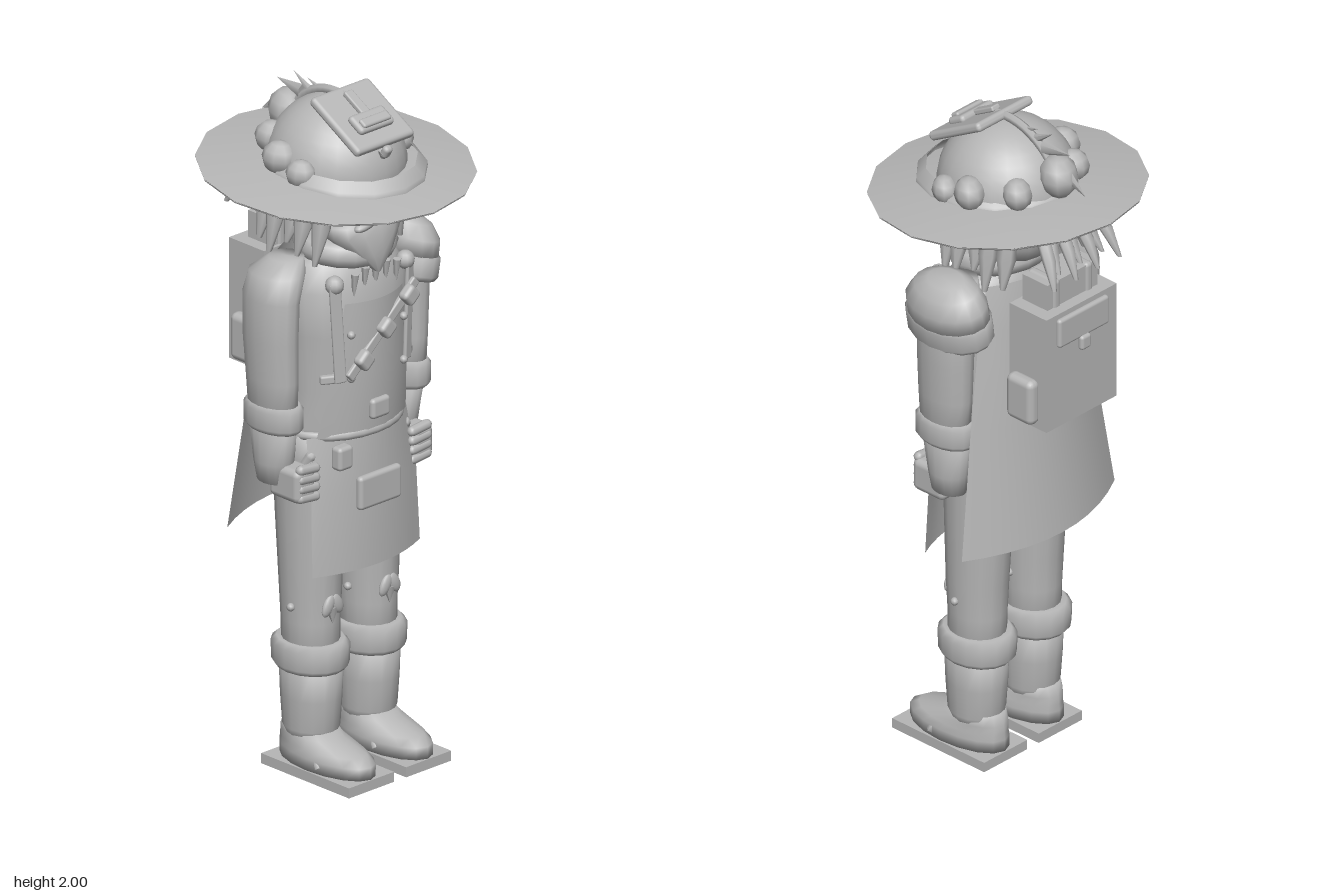
import * as THREE from 'three';
import { RoundedBoxGeometry } from 'three/addons/geometries/RoundedBoxGeometry.js';

const grey = new THREE.MeshStandardMaterial({ color: 0xb6b6b6, side: THREE.DoubleSide });
grey.name = 'stone grey';

function add(parent, name, geo, pos = [0, 0, 0], rot = [0, 0, 0], scale = [1, 1, 1]) {
  const m = new THREE.Mesh(geo, grey);
  m.name = name;
  m.position.set(...pos);
  m.rotation.set(...rot);
  m.scale.set(...scale);
  parent.add(m);
  return m;
}
const rbox = (w, h, d, r = 0.012) => new RoundedBoxGeometry(w, h, d, 2, Math.min(r, w / 2.1, h / 2.1, d / 2.1));
const box = (w, h, d) => new THREE.BoxGeometry(w, h, d);
const ball = (r, w = 12, h = 8) => new THREE.SphereGeometry(r, w, h);

// Closed skin over elliptical rings [y, centreX, centreZ, radiusX, radiusZ], lowest first
function loft(rings, n = 16) {
  const pos = [], idx = [], last = rings.length - 1;
  for (const [y, cx, cz, rx, rz] of rings) for (let k = 0; k < n; k++) {
    const a = (k / n) * Math.PI * 2;
    pos.push(cx + Math.sin(a) * rx, y, cz + Math.cos(a) * rz);
  }
  for (const r of [rings[0], rings[last]]) pos.push(r[1], r[0], r[2]);
  const low = rings.length * n;
  for (let k = 0; k < n; k++) {
    const j = (k + 1) % n;
    for (let i = 0; i < last; i++) {
      const a = i * n + k, b = i * n + j;
      idx.push(a, b, b + n, a, b + n, a + n);
    }
    idx.push(low, j, k, low + 1, last * n + k, last * n + j);
  }
  const g = new THREE.BufferGeometry();
  g.setAttribute('position', new THREE.Float32BufferAttribute(pos, 3));
  g.setIndex(idx);
  g.computeVertexNormals();
  return g;
}

// Thin curved cloth: rows [y, halfWidth, middleZ, edgeZ]
function cloth(rows, n = 10) {
  const g = new THREE.PlaneGeometry(1, 1, n, rows.length - 1), p = g.attributes.position;
  rows.forEach(([y, w, zm, ze], i) => {
    for (let k = 0; k <= n; k++) {
      const u = (k / n) * 2 - 1;
      p.setXYZ(i * (n + 1) + k, u * w, y, zm + (ze - zm) * u * u);
    }
  });
  g.computeVertexNormals();
  return g;
}

function leg(parent, s) {
  const g = new THREE.Group();
  g.name = s > 0 ? 'leftLeg' : 'rightLeg';
  parent.add(g);
  const x = s * 0.109;
  add(g, 'trouser', loft([[0.3, x, 0.015, 0.078, 0.085], [0.45, x, 0.012, 0.078, 0.088],
    [0.55, x, 0.012, 0.083, 0.093], [0.75, x, 0.008, 0.088, 0.103], [0.95, x, 0.005, 0.09, 0.115], [1.02, x, 0.005, 0.088, 0.11]]));
  add(g, 'bootShaft', loft([[0.1, x, 0.015, 0.066, 0.07], [0.13, x, 0.015, 0.076, 0.085],
    [0.22, x, 0.015, 0.08, 0.093], [0.33, x, 0.015, 0.084, 0.097]]));
  add(g, 'bootCuff', loft([[0.305, x, 0.012, 0.09, 0.104], [0.32, x, 0.012, 0.1, 0.117],
    [0.375, x, 0.012, 0.102, 0.119], [0.39, x, 0.012, 0.088, 0.102]]));
  add(g, 'shoe', loft([[0.03, x, 0.08, 0.082, 0.172], [0.065, x, 0.08, 0.083, 0.172], [0.085, x, 0.065, 0.076, 0.155],
    [0.11, x, 0.02, 0.07, 0.108], [0.14, x, 0.0, 0.064, 0.075]]));
  add(g, 'sole', box(0.172, 0.03, 0.35), [x, 0.015, 0.08]);
  add(g, 'toeStrap', new THREE.TorusGeometry(0.07, 0.012, 6, 14, Math.PI), [x, 0.045, 0.12], [-0.5, 0, 0], [1.05, 0.7, 1]);
  // Heart shaped knee patch from two lobes and a point
  for (const d of [-1, 1]) add(g, 'kneePatch', ball(0.026), [x + d * 0.016, 0.508, 0.1], [0, 0, d * 0.5], [0.75, 1.3, 0.4]);
  add(g, 'kneePoint', new THREE.ConeGeometry(0.026, 0.05, 8), [x, 0.475, 0.1], [Math.PI, 0, 0], [1, 1, 0.35]);
  for (const d of [-1, 1]) add(g, 'kneeStud', ball(0.012, 8, 6), [x + d * 0.083, 0.5, 0.02]);
}

function arm(parent, s) {
  const g = new THREE.Group();
  g.name = s > 0 ? 'leftArm' : 'rightArm';
  parent.add(g);
  add(g, 'sleeve', loft([[1.08, s * 0.245, 0.005, 0.053, 0.082], [1.2, s * 0.247, 0.003, 0.055, 0.09],
    [1.32, s * 0.25, 0, 0.06, 0.094], [1.44, s * 0.248, 0, 0.062, 0.097], [1.51, s * 0.225, 0, 0.07, 0.088], [1.545, s * 0.19, 0, 0.05, 0.05]]));
  add(g, 'cuff', loft([[1.05, s * 0.243, 0.005, 0.055, 0.088], [1.065, s * 0.243, 0.005, 0.066, 0.1],
    [1.115, s * 0.243, 0.005, 0.066, 0.1], [1.13, s * 0.243, 0.005, 0.055, 0.088]]));
  add(g, 'glove', loft([[0.89, s * 0.235, 0, 0.042, 0.055], [0.95, s * 0.237, 0, 0.052, 0.062], [1.06, s * 0.242, 0.002, 0.052, 0.082]]));
  add(g, 'palm', rbox(0.075, 0.1, 0.12, 0.02), [s * 0.225, 0.9, 0.06]);
  for (let i = 0; i < 4; i++)
    add(g, 'finger', new THREE.CapsuleGeometry(0.015, 0.055, 3, 8), [s * 0.213, 0.862 + i * 0.028, 0.11], [0, 0, Math.PI / 2 + s * 0.1]);
  add(g, 'thumb', new THREE.CapsuleGeometry(0.016, 0.05, 3, 8), [s * 0.185, 0.945, 0.075], [0.5, 0, s * 0.2]);
}

function torso(g) {
  add(g, 'jacket', loft([[0.95, 0, 0.015, 0.185, 0.12], [1.04, 0, 0.02, 0.188, 0.135], [1.15, 0, 0.025, 0.18, 0.14],
    [1.32, 0, 0.03, 0.195, 0.145], [1.45, 0, 0.03, 0.2, 0.14], [1.52, 0, 0.02, 0.16, 0.11], [1.56, 0, 0.02, 0.09, 0.08]], 20));
  add(g, 'apron', cloth([[1.02, 0.19, 0.155, 0.08], [0.85, 0.2, 0.165, 0.11], [0.62, 0.205, 0.168, 0.12]]));
  add(g, 'apronBib', cloth([[1.42, 0.11, 0.182, 0.15], [1.2, 0.14, 0.178, 0.135], [1.02, 0.17, 0.165, 0.1]]));
  add(g, 'belt', new THREE.TorusGeometry(0.182, 0.014, 8, 24), [0, 1.02, 0.02], [Math.PI / 2, 0, 0], [1, 0.76, 1]);
  add(g, 'buckle', rbox(0.07, 0.06, 0.025), [0, 1.09, 0.172]);
  add(g, 'apronPocket', rbox(0.16, 0.1, 0.025), [0, 0.85, 0.17]);
  add(g, 'beltPouch', rbox(0.055, 0.07, 0.04), [-0.125, 0.97, 0.155]);
  for (const s of [-1, 1]) {
    add(g, 'collarButton', ball(0.027), [s * 0.135, 1.48, 0.135]);
    add(g, 'shoulderStrap', rbox(0.035, 0.3, 0.012, 0.005), [s * 0.135, 1.34, 0.147], [0, s * 0.35, -s * 0.06]);
    add(g, 'strapClip', rbox(0.06, 0.025, 0.02, 0.006), [s * 0.145, 1.2, 0.128], [0, s * 0.5, 0]);
    for (const y of [1.33, 1.2]) add(g, 'bibStud', ball(0.012, 8, 6), [s * 0.1, y, 0.165]);
  }
  // Diagonal bandolier with square pouches
  add(g, 'bandolier', rbox(0.34, 0.03, 0.015, 0.005), [0.01, 1.32, 0.174], [0, 0, 0.72]);
  for (const [x, y] of [[0.1, 1.4], [0.012, 1.328], [-0.072, 1.255]])
    add(g, 'bandolierPouch', rbox(0.05, 0.05, 0.035), [x, y, 0.188], [0, 0, 0.72]);
  for (let i = 0; i < 5; i++)
    add(g, 'fringe', new THREE.ConeGeometry(0.012, 0.1, 6), [-0.08 + i * 0.04, 1.455 + (i % 2) * 0.01, 0.155], [Math.PI + 0.1, 0, 0]);
  // Layered plate over the left shoulder
  const p = new THREE.Group();
  p.name = 'shoulderPlate';
  p.position.set(0.235, 1.46, 0.005);
  p.rotation.z = -0.28;
  g.add(p);
  add(p, 'upperPlate', loft([[-0.02, 0, 0, 0.09, 0.138], [0.04, -0.005, 0, 0.088, 0.135], [0.08, -0.015, 0, 0.07, 0.105], [0.1, -0.02, 0, 0.04, 0.06]]));
  add(p, 'lowerPlate', loft([[-0.075, 0.005, 0, 0.085, 0.135], [-0.06, 0.005, 0, 0.092, 0.145], [-0.01, 0, 0, 0.092, 0.145], [0, 0, 0, 0.082, 0.13]]));
}

function back(g) {
  add(g, 'cape', cloth([[1.53, 0.16, -0.12, -0.07], [1.4, 0.2, -0.14, -0.08], [1.1, 0.25, -0.165, -0.095], [0.73, 0.305, -0.205, -0.115]]));
  const b = new THREE.Group();
  b.name = 'backpack';
  g.add(b);
  add(b, 'bag', box(0.28, 0.36, 0.14), [0, 1.32, -0.21]);
  add(b, 'flap', rbox(0.2, 0.09, 0.02), [0, 1.44, -0.283]);
  add(b, 'clasp', rbox(0.04, 0.045, 0.02), [0, 1.38, -0.292]);
  add(b, 'bundle', box(0.2, 0.1, 0.095), [0, 1.53, -0.198]);
  add(b, 'lowerKnob', ball(0.05), [0, 1.145, -0.21], [0, 0, 0], [1, 0.6, 0.8]);
  for (const s of [-1, 1]) {
    add(b, 'sidePocket', rbox(0.045, 0.14, 0.1, 0.02), [s * 0.15, 1.225, -0.2]);
    add(b, 'bundleStrap', rbox(0.03, 0.11, 0.105), [s * 0.065, 1.53, -0.198]);
  }
}

function head(g) {
  add(g, 'face', ball(0.12, 20, 14), [0, 1.69, 0.035], [0, 0, 0], [0.95, 1.3, 1.12]);
  add(g, 'neckScarf', new THREE.TorusGeometry(0.105, 0.04, 8, 18), [0, 1.555, 0.035], [Math.PI / 2 + 0.1, 0, 0], [1.05, 1.0, 1]);
  add(g, 'beard', loft([[1.495, 0, 0.165, 0.008, 0.01], [1.55, 0, 0.135, 0.07, 0.055], [1.605, 0, 0.1, 0.125, 0.085],
    [1.635, 0, 0.09, 0.122, 0.085], [1.665, 0, 0.09, 0.09, 0.07]], 14));
  add(g, 'nose', ball(0.025), [0, 1.675, 0.17]);
  for (const s of [-1, 1]) {
    add(g, 'goggleRim', new THREE.TorusGeometry(0.038, 0.009, 8, 18), [s * 0.053, 1.7, 0.158], [0, s * 0.2, 0]);
    add(g, 'goggleLens', new THREE.CylinderGeometry(0.036, 0.036, 0.012, 16), [s * 0.053, 1.7, 0.153], [Math.PI / 2, 0, -s * 0.2]);
    add(g, 'moustache', ball(0.04), [s * 0.035, 1.645, 0.16], [0, 0, -s * 0.3], [1.2, 0.4, 0.5]);
    // Locks of hair beside the face
    for (let i = 0; i < 5; i++) {
      const z = 0.09 - i * 0.055, x = s * (0.128 + (i % 2) * 0.015);
      add(g, 'sideLock', loft([[1.53 + (i % 3) * 0.02, x + s * 0.035, z - 0.005, 0.007, 0.008],
        [1.64, x + s * 0.015, z, 0.026, 0.03], [1.79, x, z, 0.022, 0.026]], 7));
    }
  }
  for (let i = 0; i < 7; i++) {
    const u = (i - 3) / 3, d = (i % 2) * 0.025;
    add(g, 'backLock', loft([[1.6 + d, u * 0.13, -0.3 + d, 0.006, 0.008], [1.68, u * 0.115, -0.265 + d, 0.02, 0.02],
      [1.79, u * 0.09, -0.19, 0.024, 0.024]], 7));
  }
  add(g, 'hairCap', ball(0.13), [0, 1.68, -0.05], [0, 0, 0], [1, 1, 0.85]);
}

function hat(parent) {
  const g = new THREE.Group();
  g.name = 'hat';
  g.position.y = 1.765;
  g.rotation.x = 0.077;
  parent.add(g);
  const v = (a) => a.map(([x, y]) => new THREE.Vector2(x, y));
  add(g, 'brim', new THREE.LatheGeometry(v([[0.1, 0.012], [0.388, -0.006], [0.39, 0], [0.2, 0.024], [0.1, 0.026]]), 16));
  add(g, 'crown', new THREE.SphereGeometry(0.2, 24, 10, 0, Math.PI * 2, 0, Math.PI / 2), [0, 0.015, 0], [0, 0, 0], [0.97, 0.96, 1]);
  add(g, 'hatBand', new THREE.LatheGeometry(v([[0.225, 0.012], [0.222, 0.03], [0.195, 0.055]]), 14), [0, 0, 0.035], [0, 0, 0], [0.98, 1, 1.08]);
  // Round ornaments along the band
  const knobs = [[0, 0.09, -0.2, 0.066], [0.11, 0.06, -0.145, 0.05], [0.185, 0.06, -0.035, 0.052], [0.19, 0.045, 0.055, 0.044]];
  for (const [x, y, z, r] of knobs) for (const s of x ? [-1, 1] : [1])
    add(g, 'hatKnob', ball(r, 9, 6), [s * x, y, z], [0, s, 0], [1, 0.95, 0.85]);
  // Sloping plate on the front of the crown
  const p = new THREE.Group();
  p.name = 'frontPlate';
  p.position.set(0, 0.175, 0.09);
  p.rotation.x = 0.44;
  g.add(p);
  add(p, 'plate', rbox(0.22, 0.028, 0.22), [0, 0, 0]);
  add(p, 'plateLatch', rbox(0.13, 0.025, 0.065), [0, 0.02, 0.03]);
  add(p, 'plateRidge', rbox(0.105, 0.015, 0.03), [0, 0.034, 0.04]);
  add(p, 'latchBar', rbox(0.032, 0.016, 0.12, 0.005), [0, 0.022, -0.02]);
  add(p, 'plateTab', rbox(0.03, 0.04, 0.025), [0, -0.015, 0.12]);
  add(p, 'tabPoint', new THREE.ConeGeometry(0.018, 0.05, 6), [0, -0.045, 0.115], [Math.PI, 0, 0]);
  // Crest over the top, ending in leaf points
  add(g, 'crest', new THREE.TorusGeometry(0.2, 0.014, 6, 18, 2.1), [0, 0.015, 0], [0, Math.PI / 2, 0], [1, 1, 0.9]).rotation.set(0, Math.PI / 2, 0);
  for (const [y, z, t, l] of [[0.195, -0.07, -1.3, 0.13], [0.185, -0.13, -1.1, 0.13], [0.165, -0.2, -1.5, 0.1], [0.08, -0.265, -2.2, 0.09]])
    add(g, 'crestLeaf', new THREE.ConeGeometry(0.024, l, 6), [0, y, z], [t, 0, 0], [0.6, 1, 1]);
}

export function createModel() {
  const model = new THREE.Group();
  model.name = 'adventurer';
  for (const s of [-1, 1]) {
    leg(model, s);
    arm(model, s);
  }
  torso(model);
  back(model);
  head(model);
  hat(model);
  return model;
}
